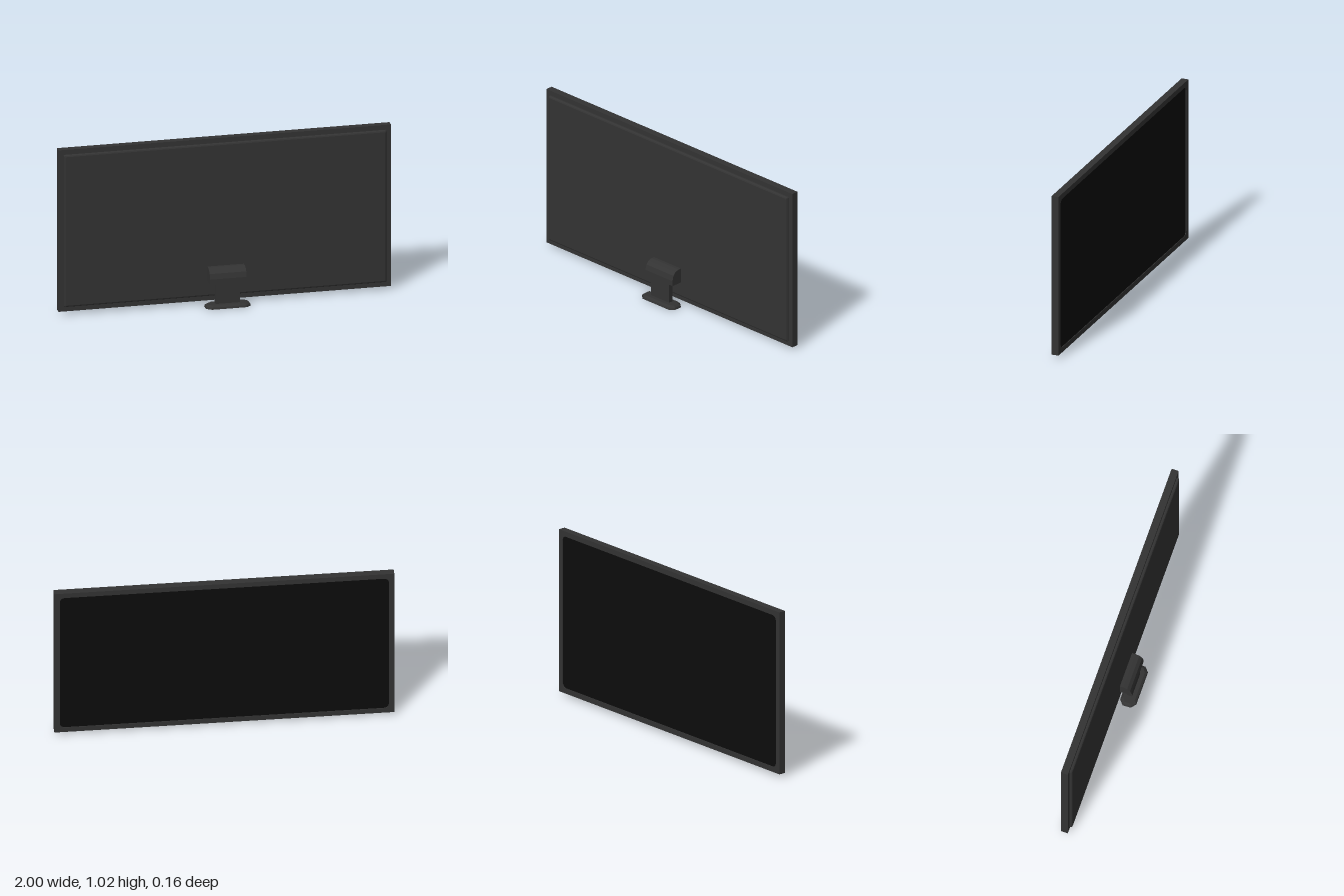
import * as THREE from 'three';

const body = new THREE.MeshStandardMaterial({ color: 0x333333 });
body.name = 'charcoalPlastic';
const glass = new THREE.MeshStandardMaterial({ color: 0x0c0c0c });
glass.name = 'blackScreen';

// Rectangle outline with cut corners, counter-clockwise, at depth z
function ring(hw, hh, cutX, cutY, z) {
  return [
    [hw, -hh + cutY], [hw, hh - cutY], [hw - cutX, hh], [-hw + cutX, hh],
    [-hw, hh - cutY], [-hw, -hh + cutY], [-hw + cutX, -hh], [hw - cutX, -hh],
  ].map(([x, y]) => [x, y, z]);
}

// Flat-faced solid through rings stacked along +z, with both ends closed
function loft(rings) {
  const pos = [];
  const tri = (a, b, c) => pos.push(...a, ...b, ...c);
  const n = rings[0].length;
  for (let r = 0; r < rings.length - 1; r++) {
    for (let i = 0; i < n; i++) {
      const j = (i + 1) % n;
      const [a, b, c, d] = [rings[r][i], rings[r][j], rings[r + 1][j], rings[r + 1][i]];
      tri(a, b, c);
      tri(a, c, d);
    }
  }
  const first = rings[0], last = rings[rings.length - 1];
  for (let i = 1; i < n - 1; i++) {
    tri(first[0], first[i + 1], first[i]);
    tri(last[0], last[i], last[i + 1]);
  }
  const geo = new THREE.BufferGeometry();
  geo.setAttribute('position', new THREE.Float32BufferAttribute(pos, 3));
  geo.computeVertexNormals();
  return geo;
}

// Rounded rectangle outline, used for both the bezel opening and the screen
function roundedRect(target, hw, hh, r) {
  target.moveTo(hw, -hh + r);
  target.absarc(hw - r, hh - r, r, 0, Math.PI / 2);
  target.absarc(-hw + r, hh - r, r, Math.PI / 2, Math.PI);
  target.absarc(-hw + r, -hh + r, r, Math.PI, Math.PI * 1.5);
  target.absarc(hw - r, -hh + r, r, Math.PI * 1.5, Math.PI * 2);
  return target;
}

export function createModel() {
  const model = new THREE.Group();
  model.name = 'monitor';
  const add = (name, geo, mat, x, y, z) => {
    const mesh = new THREE.Mesh(geo, mat);
    mesh.name = name;
    mesh.position.set(x, y, z);
    model.add(mesh);
    return mesh;
  };

  // Slim slab and the raised bezel around the display
  const midY = 0.52;
  add('frame', new THREE.BoxGeometry(2, 1, 0.037), body, 0, midY, -0.0555);
  const outline = new THREE.Shape([[-1, -0.5], [1, -0.5], [1, 0.5], [-1, 0.5]]
    .map(([x, y]) => new THREE.Vector2(x, y)));
  outline.holes.push(roundedRect(new THREE.Path(), 0.968, 0.468, 0.03));
  add('bezel', new THREE.ExtrudeGeometry(outline,
    { depth: 0.006, bevelEnabled: false, curveSegments: 4 }), body, 0, midY, -0.08);

  // Display surface, slightly recessed and facing -z
  const screen = roundedRect(new THREE.Shape(), 0.968, 0.468, 0.03);
  add('screen', new THREE.ShapeGeometry(screen, 4), glass, 0, midY, -0.076).rotation.y = Math.PI;

  // Casing panel with softened edges
  add('casingPanel', loft([
    ring(0.97, 0.47, 0.004, 0.004, -0.038),
    ring(0.97, 0.47, 0.004, 0.004, -0.029),
    ring(0.967, 0.467, 0.004, 0.004, -0.023),
    ring(0.96, 0.46, 0.004, 0.004, -0.02),
  ]), body, 0, midY, 0);

  // Curved mounting bracket, side profile (z, y) extruded across x
  const profile = new THREE.Shape([
    [-0.022, 0.145], [0.051, 0.145], [0.051, 0.177], [0.043, 0.209],
    [0.025, 0.228], [0, 0.235], [-0.022, 0.235],
  ].map(([z, y]) => new THREE.Vector2(-z, y)).reverse());
  const bracket = new THREE.ExtrudeGeometry(profile, { depth: 0.22, bevelEnabled: false });
  bracket.rotateY(Math.PI / 2);
  add('mountBracket', bracket, body, -0.11, 0, 0);

  // Neck and chamfered foot
  add('neck', new THREE.BoxGeometry(0.146, 0.135, 0.03), body, 0, 0.0825, 0.027);
  const foot = loft([
    ring(0.135, 0.05, 0.03, 0.025, 0),
    ring(0.131, 0.046, 0.029, 0.023, 0.011),
    ring(0.118, 0.035, 0.026, 0.018, 0.021),
  ]);
  foot.rotateX(-Math.PI / 2);
  add('foot', foot, body, 0, 0, 0.03);

  return model;
}
